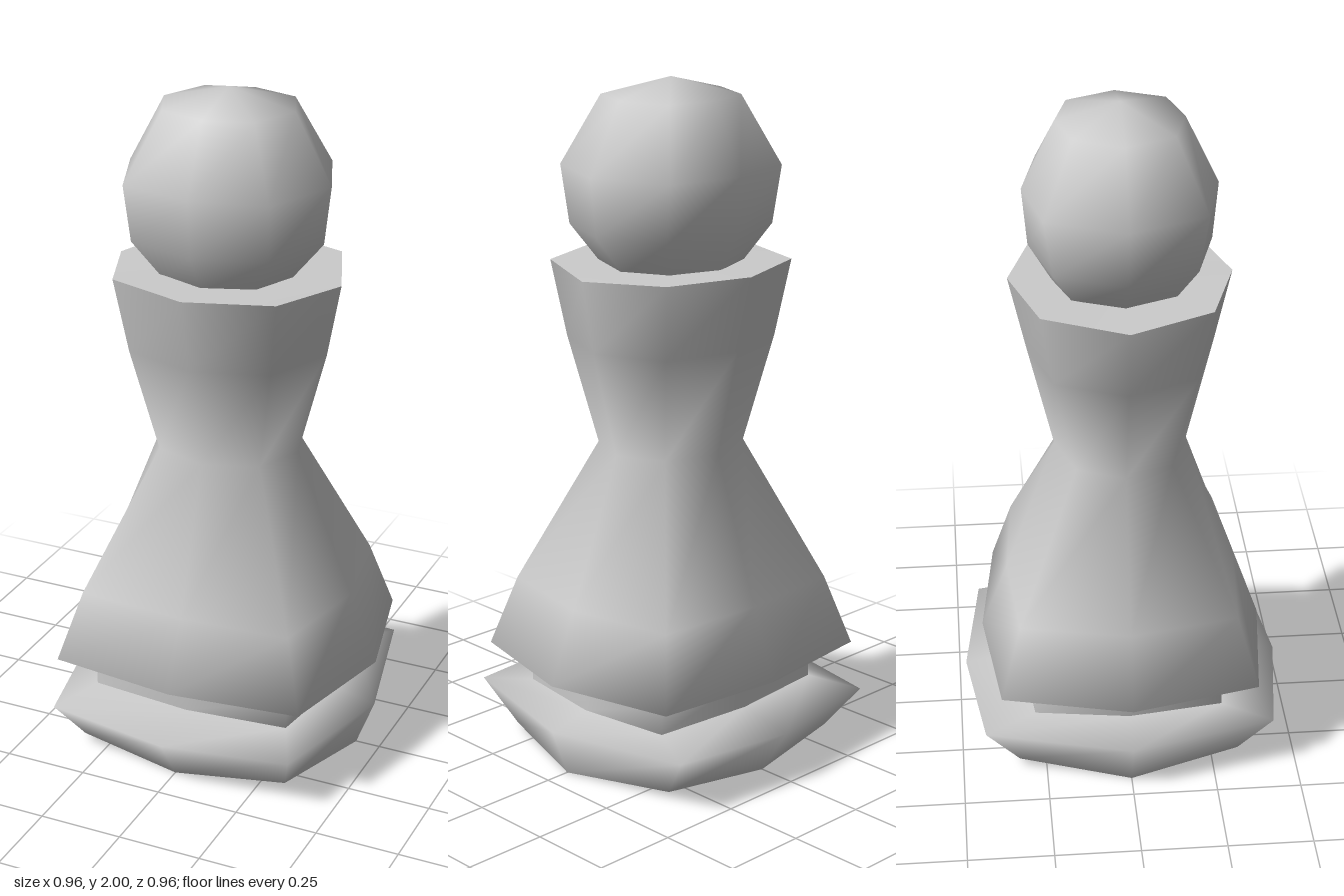
import * as THREE from 'three';

const material = new THREE.MeshStandardMaterial({ color: 0xcccccc });

// Eight-sided ring: half width on x, half depth on z, corner position, corner height
function ring(y, rx, rz, cx, cz, cy = y) {
  return [
    [0, y, rz], [cx, cy, cz], [rx, y, 0], [cx, cy, -cz],
    [0, y, -rz], [-cx, cy, -cz], [-rx, y, 0], [-cx, cy, cz],
  ];
}

// Skin a stack of rings, from bottom to top; optional apex closes the top
function loft(name, rings, apexY) {
  const points = rings.flat();
  const index = [];
  for (let r = 0; r < rings.length - 1; r++) {
    for (let i = 0; i < 8; i++) {
      const a = r * 8 + i, b = r * 8 + (i + 1) % 8;
      index.push(a, b, b + 8, a, b + 8, a + 8);
    }
  }
  if (apexY !== undefined) {
    const base = (rings.length - 1) * 8;
    points.push([0, apexY, 0]);
    for (let i = 0; i < 8; i++) index.push(base + i, base + (i + 1) % 8, points.length - 1);
  }
  const geometry = new THREE.BufferGeometry();
  geometry.setAttribute('position', new THREE.Float32BufferAttribute(points.flat(), 3));
  geometry.setIndex(index);
  geometry.computeVertexNormals();
  const mesh = new THREE.Mesh(geometry, material);
  mesh.name = name;
  return mesh;
}

export function createModel() {
  const group = new THREE.Group();
  group.name = 'pawn';

  // Rings shared by neighbouring parts
  const foot = ring(0, 0.425, 0.385, 0.33, 0.33, 0.02);
  const collarLow = ring(0.175, 0.35, 0.31, 0.31, 0.28);
  const collarHigh = ring(0.26, 0.35, 0.31, 0.31, 0.28);
  const rim = ring(1.475, 0.345, 0.32, 0.25, 0.24);
  rim[2][1] = rim[6][1] = 1.465;

  // Underside and flared base
  const centre = ring(0, 0, 0, 0, 0);
  group.add(loft('underside', [centre, foot]));
  group.add(loft('base', [foot, ring(0.145, 0.48, 0.48, 0.38, 0.43, 0.155), collarLow]));

  // Recessed collar between base and body
  group.add(loft('collar', [collarLow, collarHigh]));

  // Skirt, waist and flared chest
  group.add(loft('body', [
    collarHigh,
    ring(0.29, 0.48, 0.425, 0.39, 0.38),
    ring(0.5, 0.395, 0.345, 0.33, 0.32),
    ring(0.93, 0.22, 0.195, 0.16, 0.14),
    ring(1.25, 0.305, 0.27, 0.22, 0.205),
    rim,
  ]));

  // Flat shoulder closing the chest
  group.add(loft('shoulder', [rim], 1.475));

  // Faceted round head
  group.add(loft('head', [
    ring(1.46, 0.19, 0.19, 0.14, 0.14),
    ring(1.58, 0.29, 0.26, 0.21, 0.2),
    ring(1.75, 0.31, 0.275, 0.22, 0.225),
    ring(1.95, 0.2, 0.18, 0.14, 0.14),
  ], 2));

  // The underside faces down: reverse its corner order
  const underside = group.getObjectByName('underside').geometry;
  if (underside.attributes.normal.getY(8) > 0) {
    underside.index.array.reverse();
    underside.computeVertexNormals();
  }
  return group;
}
